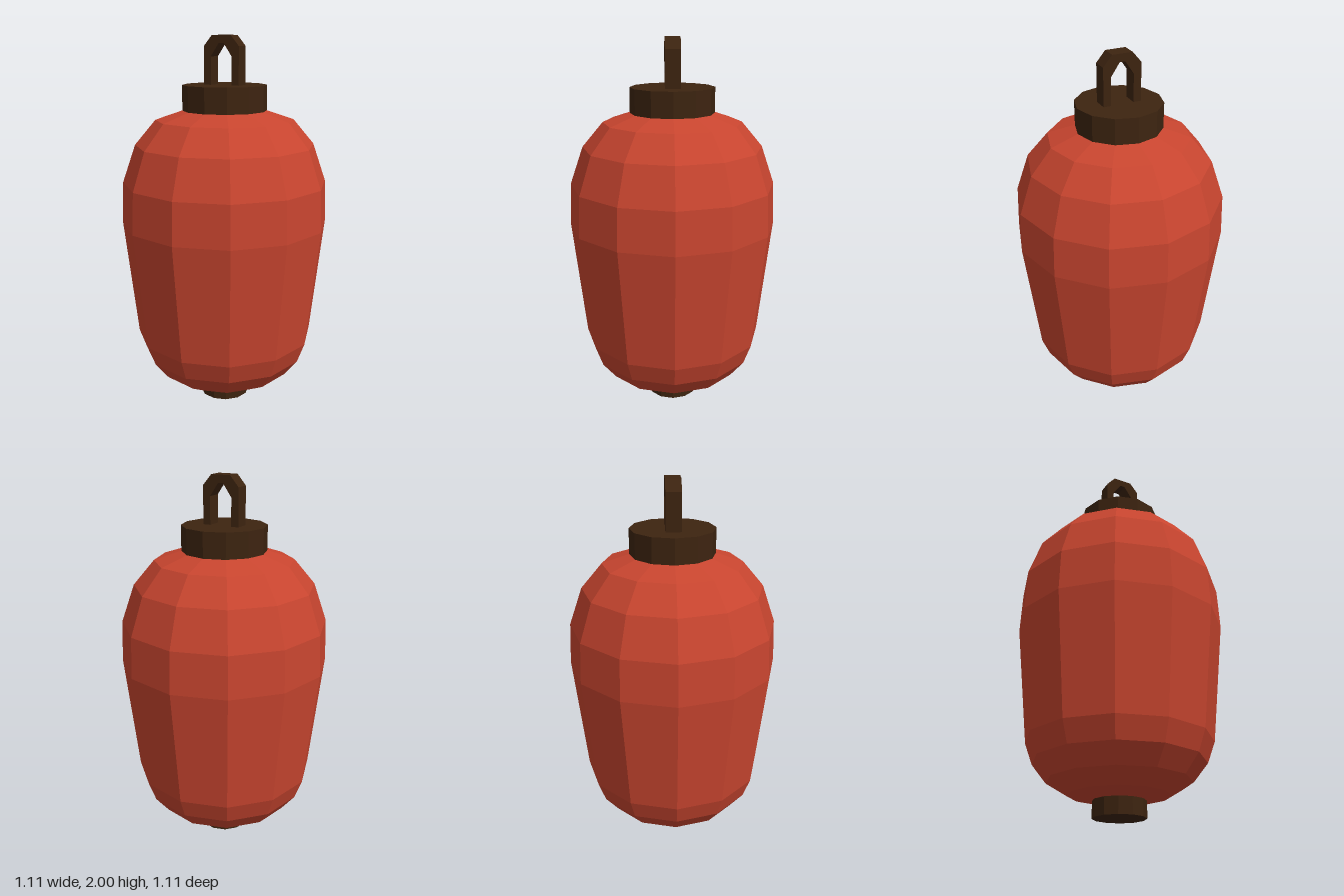
import * as THREE from 'three';

const SIDES = 12;

// Facet a geometry so that every polygon is shaded flat
function flat(geometry) {
  const g = geometry.index ? geometry.toNonIndexed() : geometry;
  g.computeVertexNormals();
  return g;
}

export function createModel() {
  const group = new THREE.Group();
  group.name = 'paperLantern';

  const red = new THREE.MeshStandardMaterial({ color: 0xc8452f });
  red.name = 'red paper';
  const brown = new THREE.MeshStandardMaterial({ color: 0x3d2410 });
  brown.name = 'dark wood';

  const add = (name, geometry, material, y = 0) => {
    const mesh = new THREE.Mesh(flat(geometry), material);
    mesh.name = name;
    mesh.position.y = y;
    group.add(mesh);
  };

  // Paper body: faceted profile from the bottom rim to the top rim
  const profile = [
    [0.13, 0.085], [0.26, 0.11], [0.37, 0.175], [0.445, 0.27], [0.485, 0.38],
    [0.555, 1.02], [0.545, 1.24], [0.475, 1.44], [0.365, 1.57], [0.215, 1.62],
  ].map(([r, y]) => new THREE.Vector2(r, y));
  add('body', new THREE.LatheGeometry(profile, SIDES), red);

  // Wooden base and cap
  add('base', new THREE.CylinderGeometry(0.136, 0.136, 0.09, SIDES), brown, 0.045);
  add('cap', new THREE.CylinderGeometry(0.222, 0.222, 0.135, SIDES), brown, 1.6825);

  // Carrying loop: arch outline, outer edge then inner edge
  const outer = [[0.1, 1.745], [0.1, 1.945], [0.053, 2]];
  const inner = [[0.06, 1.745], [0.06, 1.893], [0.014, 1.96]];
  const mirror = (pts) => pts.map(([x, y]) => [-x, y]).reverse();
  const outline = [...outer, ...mirror(outer), ...mirror(mirror(mirror(inner))), ...[...inner].reverse()];
  // Left leg must run upwards along the inner edge before crossing to the right
  const arch = [
    ...outer, ...mirror(outer),
    ...inner.map(([x, y]) => [-x, y]), ...[...inner].reverse(),
  ].map(([x, y]) => new THREE.Vector2(x, y));
  const loop = new THREE.ExtrudeGeometry(new THREE.Shape(arch), { depth: 0.08, bevelEnabled: false });
  loop.translate(0, 0, -0.04);
  add('handle', loop, brown);

  return group;
}
